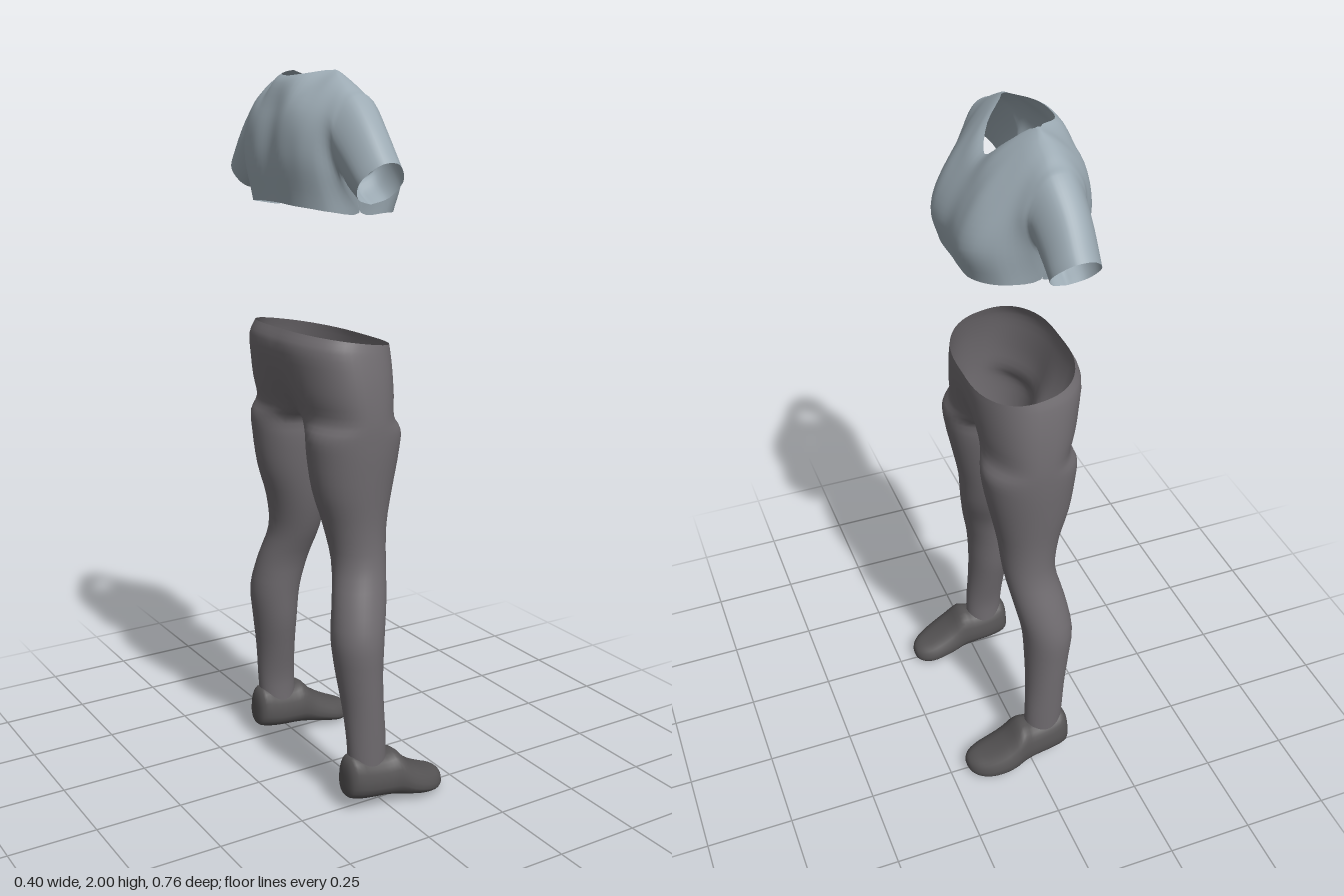
import * as THREE from 'three';
import { mergeVertices } from 'three/addons/utils/BufferGeometryUtils.js';

const V = (x, y, z) => new THREE.Vector3(x, y, z);
const mat = (name, color) => {
  const m = new THREE.MeshStandardMaterial({ color, side: THREE.DoubleSide });
  m.name = name;
  return m;
};

// Smooths a list of matching point rows into more rows.
function smoothRows(rows, steps) {
  const curves = rows[0].map((_, i) => new THREE.CatmullRomCurve3(rows.map(r => r[i])));
  const n = (rows.length - 1) * steps;
  return Array.from({ length: n + 1 }, (_, j) => curves.map(c => c.getPoint(j / n)));
}

// Skins rows of points; each side is { rows, flip }; skip() leaves openings.
function skin(sides, skip = () => false) {
  const pos = [], index = [];
  for (const { rows, flip } of sides) {
    const base = pos.length / 3, w = rows[0].length;
    rows.forEach(r => r.forEach(p => pos.push(p.x, p.y, p.z)));
    for (let j = 0; j < rows.length - 1; j++) {
      for (let i = 0; i < w - 1; i++) {
        if (skip(rows, i, j)) continue;
        const a = base + j * w + i, b = a + 1, c = a + w, d = c + 1;
        index.push(...(flip ? [a, c, b, b, c, d] : [a, b, c, b, d, c]));
      }
    }
  }
  let g = new THREE.BufferGeometry();
  g.setAttribute('position', new THREE.Float32BufferAttribute(pos, 3));
  g.setIndex(index);
  g = mergeVertices(g, 1e-4);
  g.computeVertexNormals();
  return g;
}
const mirrorRows = rows => rows.map(r => r.map(p => V(p.x, p.y, -p.z)));

// Trousers: round leg sections that open into half pelvis sections
function trousersGeometry() {
  // y, back x, front x, inner z, outer z
  const legs = [
    [0.12, -0.1, 0.012, 0.212, 0.302], [0.2, -0.105, 0.01, 0.21, 0.305],
    [0.3, -0.112, 0.005, 0.19, 0.308], [0.4, -0.125, 0.005, 0.168, 0.31],
    [0.5, -0.135, 0.012, 0.156, 0.31], [0.6, -0.12, 0.032, 0.14, 0.285],
    [0.7, -0.1, 0.05, 0.1, 0.255], [0.8, -0.115, 0.06, 0.07, 0.25],
    [0.9, -0.145, 0.08, 0.052, 0.258], [1.0, -0.16, 0.1, 0.04, 0.267],
    [1.06, -0.163, 0.105, 0.036, 0.27],
  ];
  // y, back x, front x, half width, cleft depth, waist tilt
  const hips = [
    [1.1, -0.165, 0.105, 0.27, 0.35, 0], [1.16, -0.18, 0.108, 0.266, 0.18, 0],
    [1.22, -0.192, 0.11, 0.258, 0.06, 0.04], [1.28, -0.2, 0.11, 0.245, 0.03, 0.1],
    [1.31, -0.183, 0.108, 0.235, 0.03, 0.17],
  ];
  const N = 36, H = 28;
  const rows = legs.map(([y, xb, xf, zi, zo]) => Array.from({ length: N + 1 }, (_, i) => {
    const t = (i * 10 - 50) * Math.PI / 180;
    return V((xb + xf) / 2 + (xf - xb) / 2 * Math.cos(t), y, (zi + zo) / 2 + (zo - zi) / 2 * Math.sin(t));
  }));
  for (const [y, xb, xf, w, cleft, tilt] of hips) {
    rows.push(Array.from({ length: N + 1 }, (_, i) => {
      const inner = i > H ? (i - H) / (N - H) : 0;
      const t = Math.PI * Math.min(i, H) / H, c = Math.cos(t);
      const z = i >= H ? 0 : w * Math.pow(Math.sin(t), 0.85);
      const shape = i > H ? 2 * inner - 1 : Math.sign(c) * Math.pow(Math.abs(c), 0.85);
      const x = (xb + xf) / 2 + (xf - xb) / 2 * shape * (1 - cleft * Math.exp(-((z / 0.08) ** 2)));
      return V(x, y - 0.015 * Math.sin(Math.PI * inner) - tilt * (x + 0.04), z);
    }));
  }
  const half = smoothRows(rows, 3);
  half.forEach(r => r.forEach(p => { p.z = p.z < 1e-4 ? 0 : p.z; }));
  // no wall on the centre plane
  const skip = (r, i, j) => [r[j][i], r[j][i + 1], r[j + 1][i], r[j + 1][i + 1]].every(p => Math.abs(p.z) < 1e-6);
  return skin([{ rows: half, flip: true }, { rows: mirrorRows(half), flip: false }], skip);
}

// Shirt: slices across the body from front hem over the shoulder to back hem
function shirtGeometry() {
  // hem z, top z, then x,y pairs: front hem, bust, upper chest, top, back top, upper back, mid back, hem
  const body = [
    [0, 0, 0.125, 1.64, 0.133, 1.73, 0.085, 1.84, 0.035, 1.9, -0.135, 1.985, -0.175, 1.9, -0.193, 1.79, -0.18, 1.665],
    [0.06, 0.06, 0.125, 1.638, 0.14, 1.725, 0.09, 1.84, 0.005, 1.95, -0.12, 1.99, -0.18, 1.9, -0.2, 1.79, -0.185, 1.665],
    [0.107, 0.107, 0.12, 1.636, 0.14, 1.72, 0.085, 1.85, -0.05, 1.997, -0.065, 1.998, -0.17, 1.91, -0.195, 1.79, -0.18, 1.662],
    [0.15, 0.15, 0.095, 1.637, 0.12, 1.73, 0.065, 1.85, -0.04, 1.975, -0.08, 1.98, -0.16, 1.9, -0.185, 1.79, -0.16, 1.658],
    [0.185, 0.187, 0.05, 1.64, 0.075, 1.735, 0.04, 1.85, -0.04, 1.957, -0.085, 1.96, -0.145, 1.89, -0.16, 1.78, -0.12, 1.65],
    [0.197, 0.215, -0.035, 1.645, 0.005, 1.735, 0.025, 1.84, -0.035, 1.94, -0.09, 1.942, -0.138, 1.87, -0.11, 1.74, -0.04, 1.645],
  ].map(([zh, zt, ...xy]) => Array.from({ length: 8 }, (_, k) =>
    V(xy[2 * k], xy[2 * k + 1], THREE.MathUtils.lerp(zh, zt, [0, 0.6, 1, 1, 1, 1, 0.6, 0][k]))));
  // sleeve rings: centre x, y, z, half width, half height as z and y
  const angles = [0, 45, 95, 158, 202, 265, 315, 360];
  const sleeve = [
    [-0.062, 1.832, 0.228, 0.075, 0.01, 0.106],
    [-0.066, 1.783, 0.28, 0.068, 0.03, 0.087],
    [-0.065, 1.727, 0.335, 0.064, 0.045, 0.053],
  ].map(([x, y, z, rx, dz, dy]) => angles.map(a => {
    const t = a * Math.PI / 180;
    return V(x + rx * Math.sin(t), y - dy * Math.cos(t), z - dz * Math.cos(t));
  }));
  const S = 6, F = 4;
  const slices = [...body, ...sleeve];
  const all = [...mirrorRows(slices.slice(1)).reverse(), ...slices];
  const dense = all.map(r => {
    const c = new THREE.CatmullRomCurve3(r);
    return Array.from({ length: 7 * S + 1 }, (_, i) => c.getPoint(i / (7 * S)));
  });
  const rows = smoothRows(dense, F);
  const mid = (slices.length - 1) * F;
  // neck opening
  const skip = (r, i, j) => i >= 3 * S && i < 4 * S && j >= mid - 2 * F && j < mid + 2 * F;
  return skin([{ rows, flip: false }], skip);
}

// Shoe: sections from heel to toe
function shoeRows() {
  // x, bottom y, top y, half width, centre z
  const sections = [
    [-0.12, 0.09, 0.09, 0, 0.26], [-0.116, 0.045, 0.142, 0.035, 0.26],
    [-0.1, 0.038, 0.163, 0.052, 0.26], [-0.06, 0.032, 0.155, 0.06, 0.26],
    [0, 0.027, 0.15, 0.064, 0.262], [0.032, 0.022, 0.155, 0.068, 0.265],
    [0.07, 0.015, 0.118, 0.074, 0.267], [0.11, 0.008, 0.09, 0.074, 0.265],
    [0.15, 0.002, 0.07, 0.066, 0.26], [0.18, 0.003, 0.058, 0.048, 0.256],
    [0.196, 0.012, 0.045, 0.025, 0.253], [0.201, 0.028, 0.028, 0, 0.252],
  ];
  const pw = v => Math.sign(v) * Math.pow(Math.abs(v), 0.8);
  return smoothRows(sections.map(([x, yb, yt, hw, cz]) => Array.from({ length: 25 }, (_, i) => {
    const a = i / 24 * Math.PI * 2, s = pw(Math.sin(a));
    const taper = 1 - 0.14 * (s + 0.4);
    return V(x, (yb + yt) / 2 + (yt - yb) / 2 * s, cz + hw * pw(Math.cos(a)) * Math.min(1, taper));
  })), 3);
}

export function createModel() {
  const group = new THREE.Group();
  group.name = 'outfit';
  const add = (name, geometry, material) => {
    const m = new THREE.Mesh(geometry, material);
    m.name = name;
    group.add(m);
  };
  const shoeMat = mat('shoe dark grey', 0x555354);
  add('shirt', shirtGeometry(), mat('shirt blue grey', 0x9caab3));
  add('trousers', trousersGeometry(), mat('trouser grey', 0x706c70));
  const shoe = shoeRows();
  add('shoePositiveZ', skin([{ rows: shoe, flip: true }]), shoeMat);
  add('shoeNegativeZ', skin([{ rows: mirrorRows(shoe), flip: false }]), shoeMat);
  return group;
}
